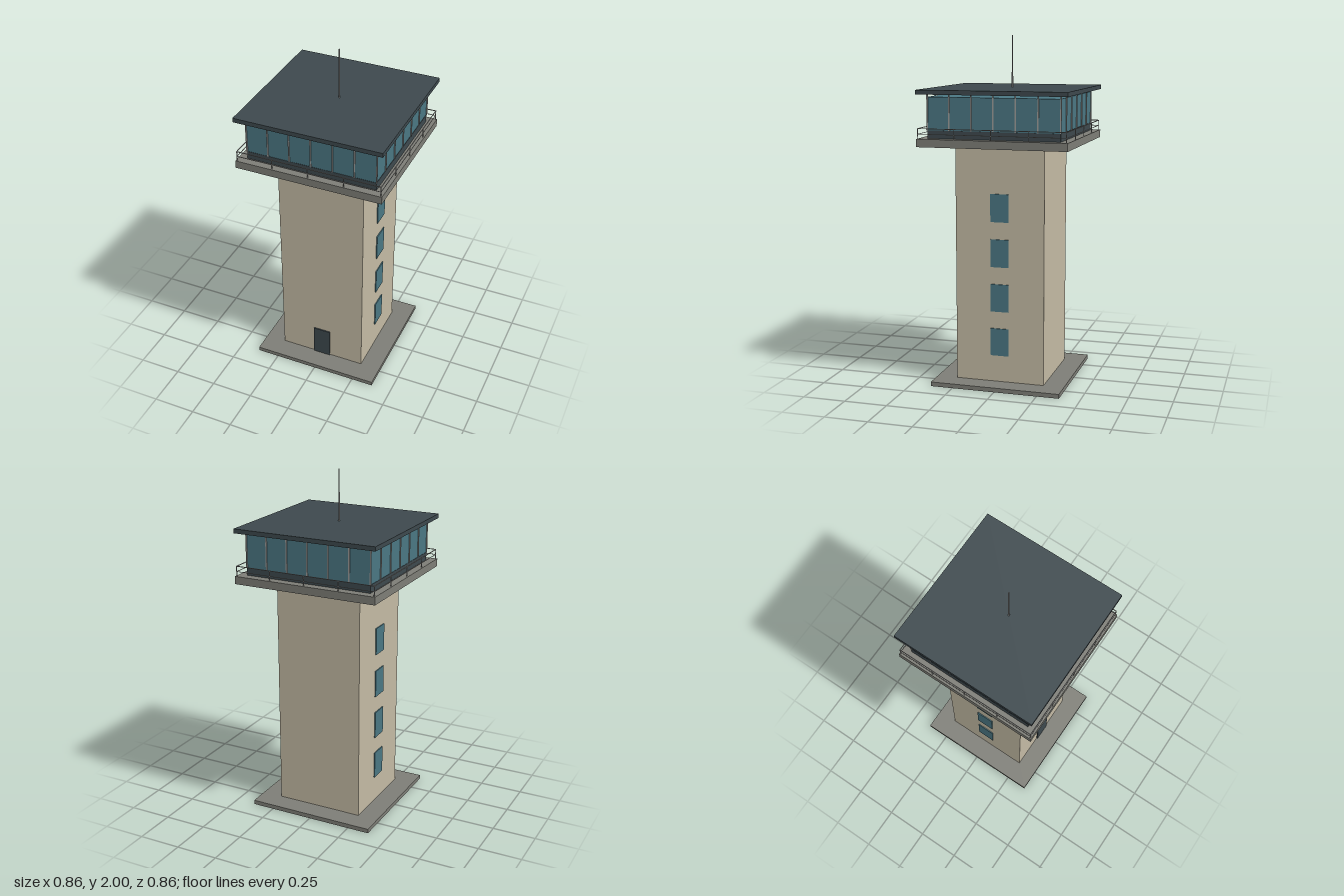
import * as THREE from 'three';

const material = (name, color) => {
  const m = new THREE.MeshStandardMaterial({ color });
  m.name = name;
  return m;
};

export function createModel() {
  const tower = new THREE.Group();
  tower.name = 'controlTower';

  const wall = material('beigeWall', 0xc2b9a3);
  const concrete = material('greyConcrete', 0x7d7d76);
  const dark = material('darkSlate', 0x3d484d);
  const glass = material('tealGlass', 0x4a7682);
  const metal = material('paleMetal', 0x9a9a98);

  // Box spanning y0 to y1, centred on x and z
  const box = (name, mat, w, d, y0, y1, x = 0, z = 0, parent = tower) => {
    const mesh = new THREE.Mesh(new THREE.BoxGeometry(w, y1 - y0, d), mat);
    mesh.name = name;
    mesh.position.set(x, (y0 + y1) / 2, z);
    parent.add(mesh);
    return mesh;
  };

  // Stacked main volumes
  box('basePlinth', concrete, 0.76, 0.76, 0, 0.025);
  box('shaft', wall, 0.52, 0.52, 0.025, 1.39);
  box('balconyDeck', concrete, 0.86, 0.86, 1.39, 1.435);
  box('cabSill', dark, 0.76, 0.76, 1.435, 1.48);
  box('cabGlass', glass, 0.756, 0.756, 1.48, 1.665);
  box('roof', dark, 0.86, 0.86, 1.68, 1.705);

  // Entrance door on the front
  box('door', dark, 0.106, 0.009, 0.005, 0.212, 0, 0.2625);

  // Column of windows on the left and right walls
  for (const side of [-1, 1]) {
    for (let i = 0; i < 4; i++) {
      const y = 0.26 + i * 0.26;
      box('shaftWindow', glass, 0.008, 0.106, y - 0.08, y + 0.08, side * 0.262, 0);
    }
  }

  // Mullions and balcony railing, repeated on each of the four sides
  for (let s = 0; s < 4; s++) {
    const side = new THREE.Group();
    side.name = 'cabSide';
    side.rotation.y = (s * Math.PI) / 2;
    tower.add(side);
    for (let i = 0; i < 6; i++) {
      box('mullion', metal, 0.007, 0.007, 1.48, 1.68, -0.38 + i * 0.1267, 0.38, side);
    }
    for (let i = 0; i < 4; i++) {
      box('railPost', metal, 0.004, 0.004, 1.435, 1.494, -0.422 + i * 0.211, 0.422, side);
    }
    box('topRail', metal, 0.844, 0.004, 1.49, 1.494, 0, 0.422, side);
    box('midRail', metal, 0.844, 0.003, 1.46, 1.463, 0, 0.422, side);
  }

  // Roof antenna
  const antenna = new THREE.Mesh(new THREE.CylinderGeometry(0.003, 0.005, 0.295, 8), metal);
  antenna.name = 'antenna';
  antenna.position.y = 1.8525;
  tower.add(antenna);

  return tower;
}
